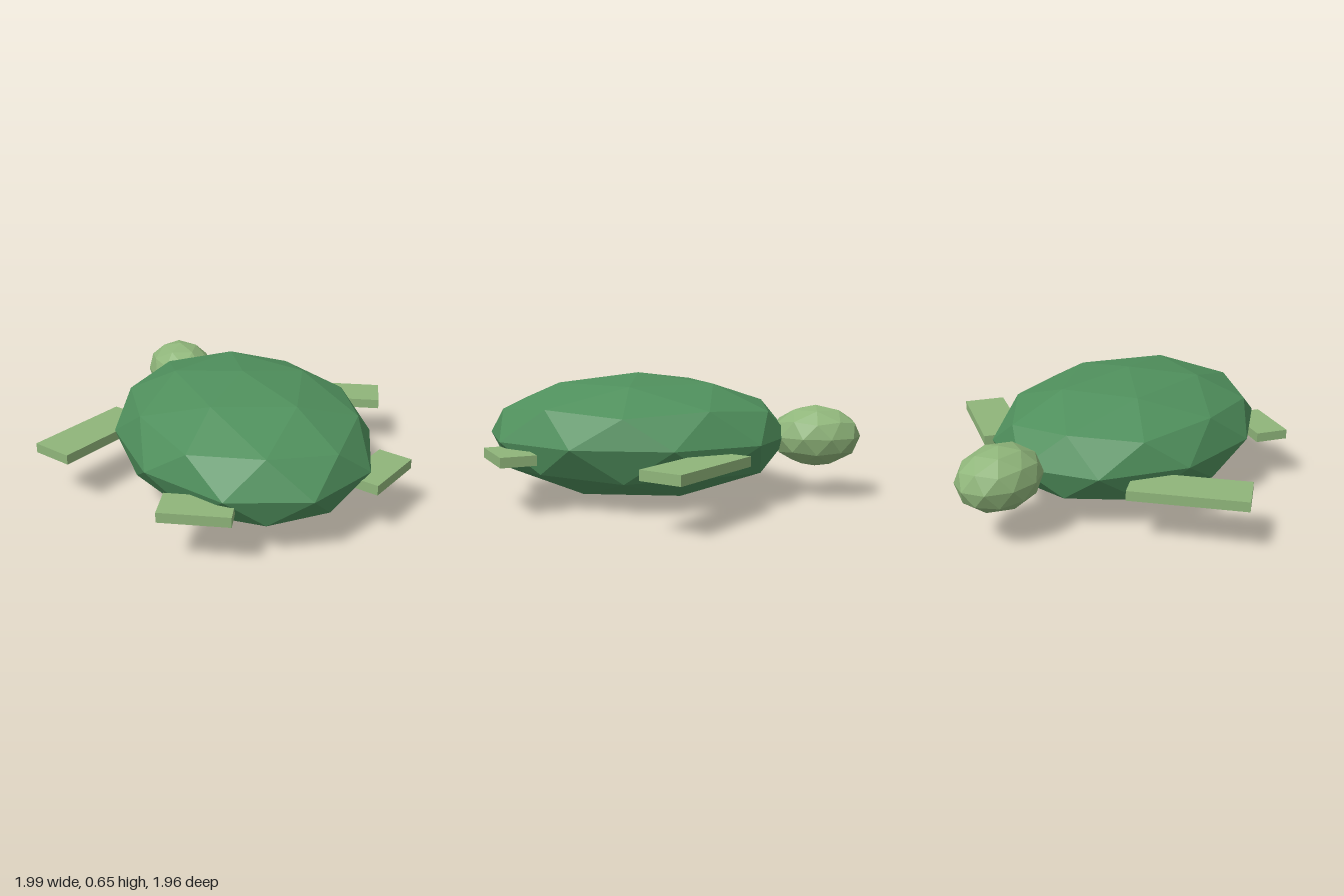
import * as THREE from 'three';

const shellGreen = new THREE.MeshStandardMaterial({ color: 0x4f8f5c, flatShading: true });
shellGreen.name = 'shellGreen';
const skinGreen = new THREE.MeshStandardMaterial({ color: 0x8fb57a, flatShading: true });
skinGreen.name = 'skinGreen';

// Faceted ellipsoid with a vertex at each pole
function facetedBall(name, material, radii, position) {
  const geometry = new THREE.IcosahedronGeometry(1, 1);
  geometry.rotateZ(-Math.atan2(2, 1 + Math.sqrt(5)));
  geometry.scale(...radii);
  const mesh = new THREE.Mesh(geometry, material);
  mesh.name = name;
  mesh.position.set(...position);
  return mesh;
}

// Flat paddle, swept by an angle about the vertical and mirrored by side
function flipper(name, length, width, x, z, angle, side) {
  const mesh = new THREE.Mesh(new THREE.BoxGeometry(length, 0.05, width), skinGreen);
  mesh.name = name;
  mesh.position.set(side * x, 0.27, z);
  mesh.rotation.y = side * angle;
  return mesh;
}

export function createModel() {
  const turtle = new THREE.Group();
  turtle.name = 'turtle';

  // Shell and head (the head points towards -z)
  turtle.add(facetedBall('shell', shellGreen, [0.635, 0.325, 0.8], [0, 0.325, 0.18]));
  turtle.add(facetedBall('head', skinGreen, [0.184, 0.16, 0.232], [0, 0.327, -0.75]));

  // Long front flippers sweep back, short hind flippers sweep forward
  for (const [label, side] of [['left', 1], ['right', -1]]) {
    turtle.add(flipper(label + 'FrontFlipper', 0.575, 0.222, 0.692, -0.178, -Math.PI / 6, side));
    turtle.add(flipper(label + 'HindFlipper', 0.335, 0.176, 0.465, 0.75, Math.PI / 6, side));
  }
  return turtle;
}
